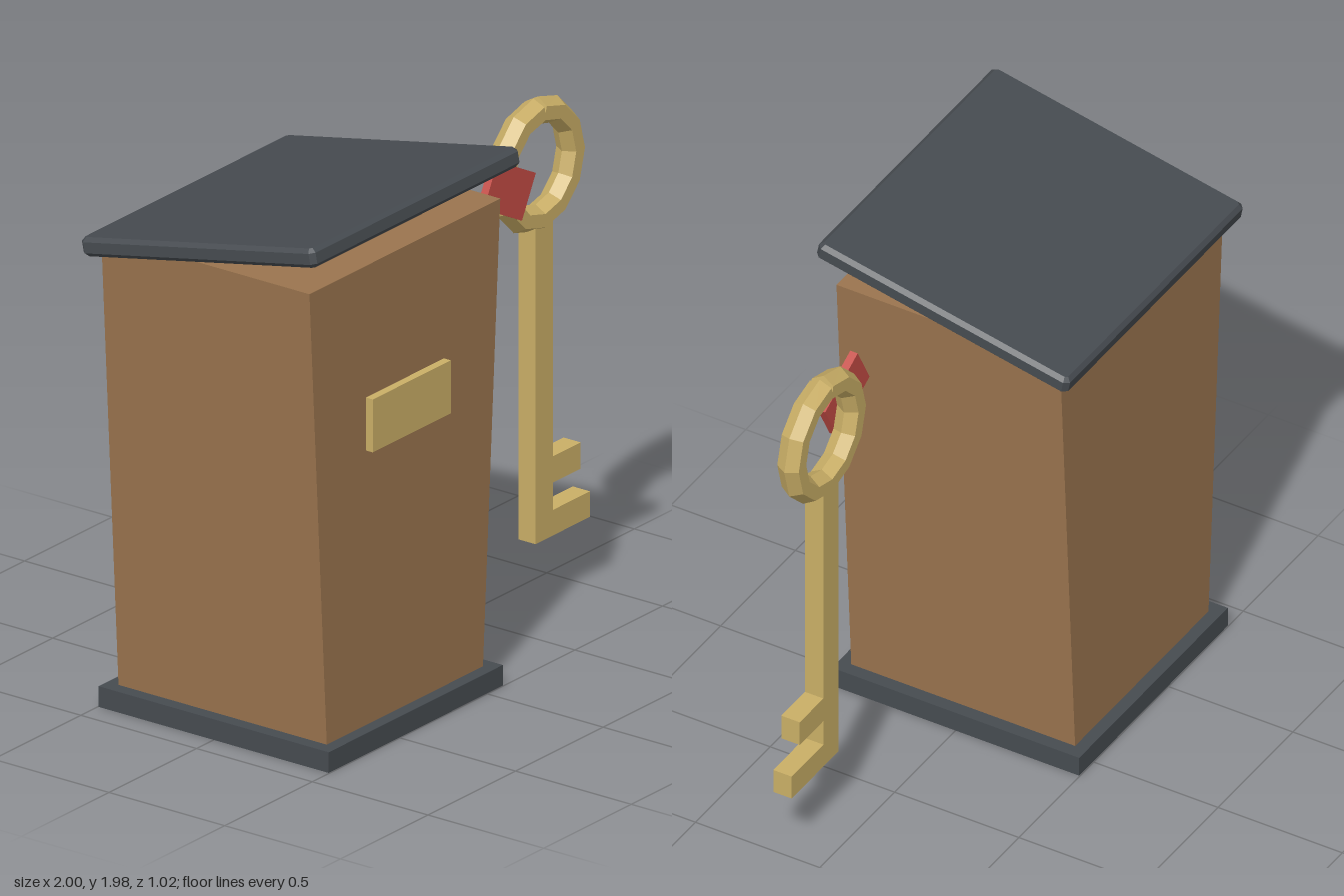
import * as THREE from 'three';

const mat = (name, color, side = THREE.FrontSide) =>
  Object.assign(new THREE.MeshStandardMaterial({ color, flatShading: true, side }), { name });

export function createModel() {
  const wood = mat('wood', 0x9a744e);
  const slate = mat('slate', 0x464b50);
  const brass = mat('brass', 0xc9ae66);
  const red = mat('red', 0xc44b45);

  const root = new THREE.Group();
  root.name = 'binAndKey';

  const add = (parent, name, geometry, material, x, y, z) => {
    const mesh = new THREE.Mesh(geometry, material);
    mesh.name = name;
    mesh.position.set(x, y, z);
    parent.add(mesh);
    return mesh;
  };
  const box = (parent, name, material, [x0, x1], [y0, y1], [z0, z1]) =>
    add(parent, name, new THREE.BoxGeometry(x1 - x0, y1 - y0, z1 - z0), material,
      (x0 + x1) / 2, (y0 + y1) / 2, (z0 + z1) / 2);

  // Bin
  const bin = new THREE.Group();
  bin.name = 'bin';
  bin.position.x = -0.405;
  root.add(bin);

  box(bin, 'base', slate, [-0.497, 0.497], [0, 0.077], [-0.497, 0.497]);

  // Body flares sideways towards the top
  const bodyGeo = new THREE.BoxGeometry(1, 1.71, 0.9);
  const bp = bodyGeo.attributes.position;
  for (let i = 0; i < bp.count; i++) bp.setX(i, bp.getX(i) * (bp.getY(i) > 0 ? 1.09 : 0.892));
  bodyGeo.computeVertexNormals();
  add(bin, 'body', bodyGeo, wood, 0, 0.932, 0);

  box(bin, 'frontPlate', brass, [-0.223, 0.223], [1.1, 1.297], [0.44, 0.48]);

  // Tilted lid with chamfered edges
  const bevel = 0.015, w = 0.595 - bevel, d = 0.515 - bevel, c = 0.009;
  const outline = new THREE.Shape([
    [w, -d + c], [w, d - c], [w - c, d], [-w + c, d],
    [-w, d - c], [-w, -d + c], [-w + c, -d], [w - c, -d],
  ].map(([x, y]) => new THREE.Vector2(x, y)));
  const lidGeo = new THREE.ExtrudeGeometry(outline, {
    depth: 0.07 - 2 * bevel, bevelEnabled: true, bevelSize: bevel, bevelThickness: bevel, bevelSegments: 1,
  });
  lidGeo.translate(0, 0, -0.02).rotateX(-Math.PI / 2);
  add(bin, 'lid', lidGeo, slate, 0, 1.843, 0).rotation.x = -0.2;

  // Key
  const key = new THREE.Group();
  key.name = 'key';
  key.position.set(0.738, 0, 0.15);
  root.add(key);

  const thick = [-0.037, 0.037];
  box(key, 'shaft', brass, [-0.05, 0.05], [0.255, 1.44], thick);
  box(key, 'upperTooth', brass, [0.05, 0.208], [0.452, 0.55], thick);
  box(key, 'lowerTooth', brass, [0.05, 0.262], [0.255, 0.35], thick);

  // Ring: twelve-sided loop whose two ends tilt apart into a notch at the top
  const R = 0.2, r = 0.05, sides = 6, steps = 12, tilt = Math.PI / steps, ringY = 1.645;
  const ringGeo = new THREE.TorusGeometry(R, r, sides, steps);
  const rp = ringGeo.attributes.position;
  for (let j = 0; j <= sides; j++) {
    for (const [i, s] of [[0, 1], [steps, -1]]) {
      const k = j * (steps + 1) + i;
      const out = rp.getX(k) - R;
      rp.setXY(k, R + out * Math.cos(tilt), s * out * Math.sin(tilt));
    }
  }
  ringGeo.rotateZ(Math.PI / 2);
  add(key, 'ring', ringGeo, brass, 0, ringY, 0);
  for (const s of [1, -1]) {
    const cap = new THREE.CircleGeometry(r, sides);
    cap.rotateZ(Math.PI / 2).rotateY(s * Math.PI / 2).rotateZ(s * tilt);
    add(key, 'ringEnd', cap, brass, 0, ringY + R, 0);
  }

  // Tag fixed to the front of the ring
  const tag = box(key, 'tag', red, [-0.368, -0.122], [1.557, 1.729], [0.044, 0.074]);
  tag.rotation.z = -0.48;

  return root;
}
